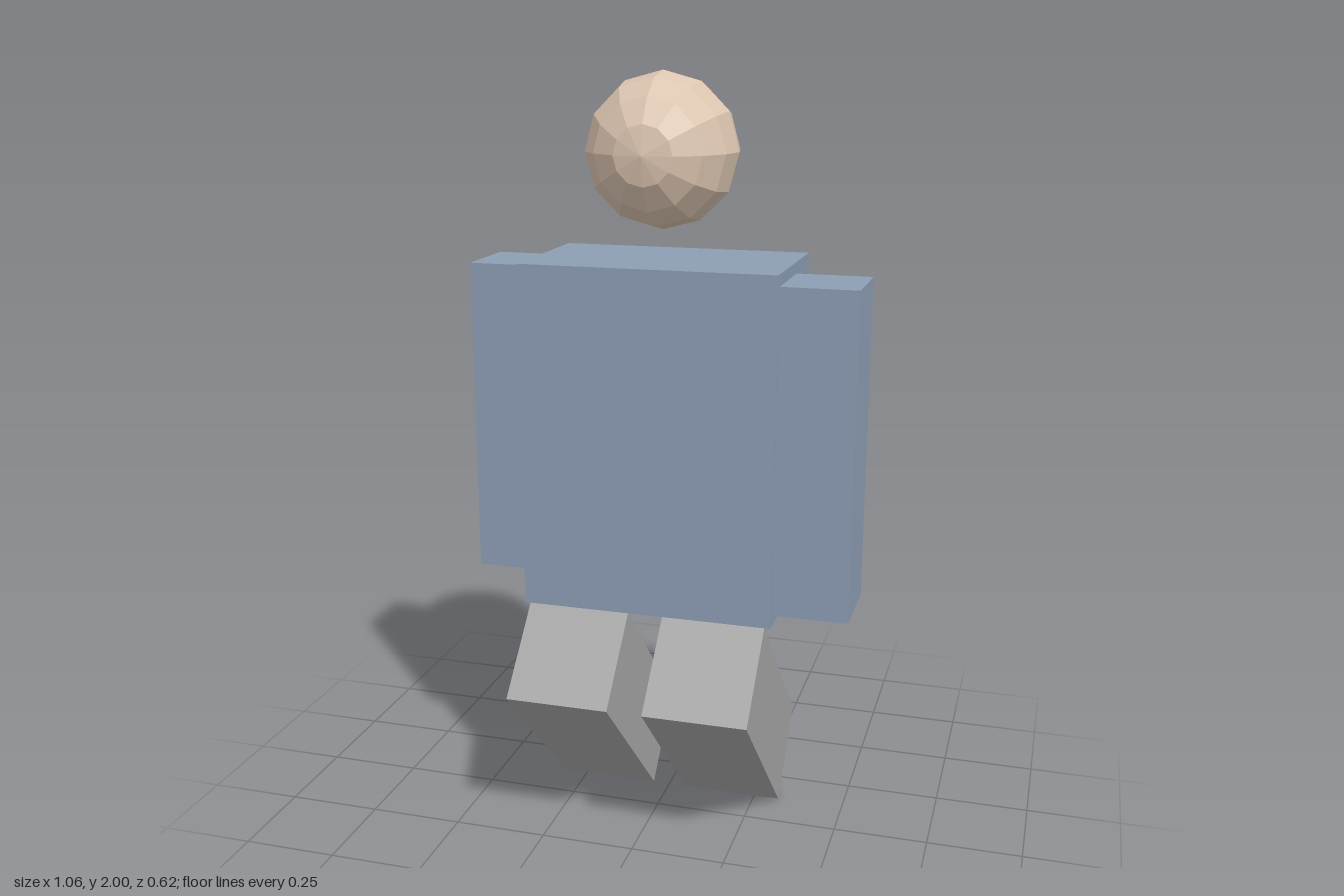
import * as THREE from 'three';

const makeMaterial = (name, color) => {
  const m = new THREE.MeshStandardMaterial({ color });
  m.name = name;
  return m;
};

export function createModel() {
  const group = new THREE.Group();
  group.name = 'blockFigure';
  const shirt = makeMaterial('shirt blue', 0x8c9db4);
  const trousers = makeMaterial('trouser grey', 0xa5a5a5);
  const skin = makeMaterial('skin', 0xdcc5b0);

  const box = (name, material, size, position) => {
    const mesh = new THREE.Mesh(new THREE.BoxGeometry(...size), material);
    mesh.name = name;
    mesh.position.set(...position);
    group.add(mesh);
    return mesh;
  };

  // Torso, with the left arm set forward and the right arm set back
  box('torso', shirt, [0.67, 0.91, 0.395], [0, 1.075, -0.077]);
  box('leftArm', shirt, [0.197, 0.85, 0.213], [0.4325, 1.075, -0.003]);
  box('rightArm', shirt, [0.197, 0.85, 0.213], [-0.4345, 1.075, -0.155]);

  // Legs tilted back from the front edge of the torso
  for (const [name, side] of [['leftLeg', 1], ['rightLeg', -1]]) {
    const leg = box(name, trousers, [0.273, 0.605, 0.273], [side * 0.183, 0.312, 0]);
    leg.rotation.x = 0.8;
  }

  // Faceted head: poles point to the front and back
  const ball = new THREE.SphereGeometry(0.196, 12, 8).rotateX(Math.PI / 2).toNonIndexed();
  ball.computeVertexNormals();
  const head = new THREE.Mesh(ball, skin);
  head.name = 'head';
  head.position.set(0, 1.804, -0.047);
  group.add(head);

  return group;
}
